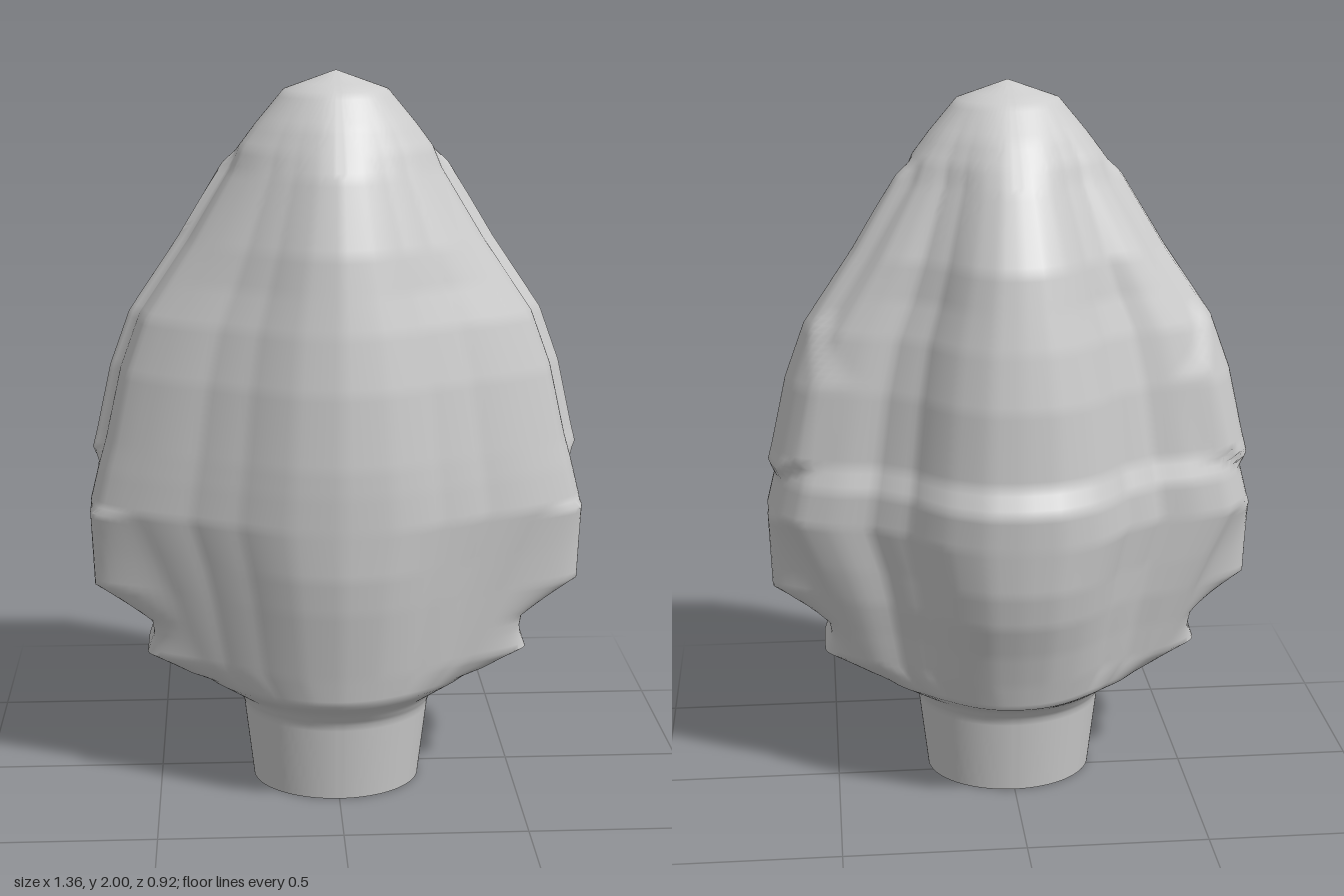
import * as THREE from 'three';
import { toCreasedNormals } from 'three/addons/utils/BufferGeometryUtils.js';

const CENTRE = 0.06; // z of the neck axis
const COLS = 176;
const { lerp, smoothstep, clamp } = THREE.MathUtils;

// Piecewise linear lookup in [key, value] pairs with rising keys
function sample(pairs, t) {
  let i = 1;
  while (i < pairs.length - 1 && t > pairs[i][0]) i++;
  const [a, b] = [pairs[i - 1], pairs[i]];
  return lerp(a[1], b[1], clamp((t - a[0]) / (b[0] - a[0]), 0, 1));
}

// Levels: y, half width, front z, back z (neck bore, rim, neck, body, tip)
const levels = [
  [0.34, 0.001, 0.061, 0.059], [0.34, 0.17, 0.2, -0.08], [0, 0.175, 0.205, -0.085],
  [0, 0.235, 0.265, -0.15], [0.23, 0.262, 0.295, -0.18], [0.27, 0.28, 0.325, -0.215],
  [0.32, 0.37, 0.385, -0.31], [0.4, 0.5, 0.4, -0.335], [0.5, 0.535, 0.42, -0.37],
  [0.6, 0.57, 0.44, -0.41], [0.7, 0.615, 0.455, -0.435], [0.83, 0.68, 0.462, -0.45],
  [0.93, 0.655, 0.465, -0.458], [1.0, 0.635, 0.465, -0.42], [1.2, 0.59, 0.452, -0.41],
  [1.35, 0.535, 0.43, -0.385], [1.55, 0.4, 0.39, -0.34], [1.74, 0.285, 0.32, -0.235],
  [1.8, 0.26, 0.285, -0.195], [1.86, 0.215, 0.25, -0.15], [1.95, 0.14, 0.18, -0.06],
  [2, 0.001, 0.061, 0.059],
];

// Cross-section for a unit body, from the back middle round the side to the front
const section = [
  [0, -1], [0.15, -0.98], [0.3, -0.88], [0.44, -0.67], [0.59, -0.54], [0.74, -0.515],
  [0.88, -0.44], [0.96, -0.3], [1, 0], [0.96, 0.28], [0.84, 0.43], [0.59, 0.62],
  [0.4, 0.78], [0.2, 0.95], [0, 1],
].map(([x, z]) => [Math.atan2(z, x), Math.hypot(x, z)]);

// How far each height departs from a plain ellipse
const shaping = [[0.27, 0], [0.4, 0.75], [0.7, 1], [1.45, 1], [1.75, 0.6], [1.95, 0]];

// Hooded side socket: x of the surface by height
const hood = [[0.34, 0.4], [0.4, 0.53], [0.46, 0.51], [0.5, 0.515], [0.6, 0.672], [0.83, 0.68]];
// Rear edge of the raised shoulder ridge by height
const ridgeBack = [[0.92, -0.02], [1, -0.15], [1.22, -0.16], [1.4, -0.05], [1.78, -0.01]];

function sidePush(x, y, z) {
  if (y > 0.92 && y < 1.8) {
    const ends = smoothstep(y, 0.92, 0.97) * (1 - smoothstep(y, 1.74, 1.8));
    const back = sample(ridgeBack, y);
    const across = smoothstep(z, back - 0.03, back + 0.01) * (1 - smoothstep(z, 0.035, 0.055));
    return x + 0.03 * ends * across;
  }
  if (y > 0.34 && y < 0.83 && x > 0.3) {
    const off = Math.abs(z - CENTRE);
    x = lerp(x, sample(hood, y), 1 - smoothstep(off, 0.07, 0.19));
    // socket hole
    const r = Math.hypot(off, (y - 0.535) * 1.25);
    x = lerp(x, Math.min(x, 0.4), 1 - smoothstep(r, 0.05, 0.07));
  }
  return x;
}

function bodyGeometry() {
  // Subdivide between the levels
  const rows = [levels[0]];
  for (let i = 1; i < levels.length; i++) {
    const a = levels[i - 1], b = levels[i];
    const n = Math.max(1, Math.ceil(Math.abs(b[0] - a[0]) / 0.018));
    for (let k = 1; k <= n; k++) rows.push(a.map((v, c) => lerp(v, b[c], k / n)));
  }
  const positions = [], index = [];
  rows.forEach(([y, w, front, back], i) => {
    const blend = sample(shaping, y) * (w > 0.2 || y > 1 ? 1 : 0);
    for (let j = 0; j < COLS; j++) {
      const t = (j / COLS) * Math.PI * 2;
      const c = Math.cos(t), s = Math.sin(t);
      const r = lerp(1, sample(section, Math.atan2(s, Math.abs(c))), blend);
      const z = CENTRE + r * s * (s > 0 ? front - CENTRE : CENTRE - back);
      let x = Math.abs(c) * r * w;
      if (Math.abs(c) > 0.25) x = sidePush(x, y, z);
      positions.push(Math.sign(c) * x, y, z);
      if (i < rows.length - 1) {
        const p = i * COLS + j, q = i * COLS + ((j + 1) % COLS);
        index.push(p, p + COLS, q, q, p + COLS, q + COLS);
      }
    }
  });
  const geometry = new THREE.BufferGeometry();
  geometry.setAttribute('position', new THREE.Float32BufferAttribute(positions, 3));
  geometry.setIndex(index);
  return toCreasedNormals(geometry, 0.9);
}

export function createModel() {
  const group = new THREE.Group();
  group.name = 'hollowNeckedShell';
  const body = new THREE.Mesh(bodyGeometry(), new THREE.MeshStandardMaterial({ color: 0xcccccc }));
  body.name = 'bodyWithNeckAndSockets';
  group.add(body);
  return group;
}
